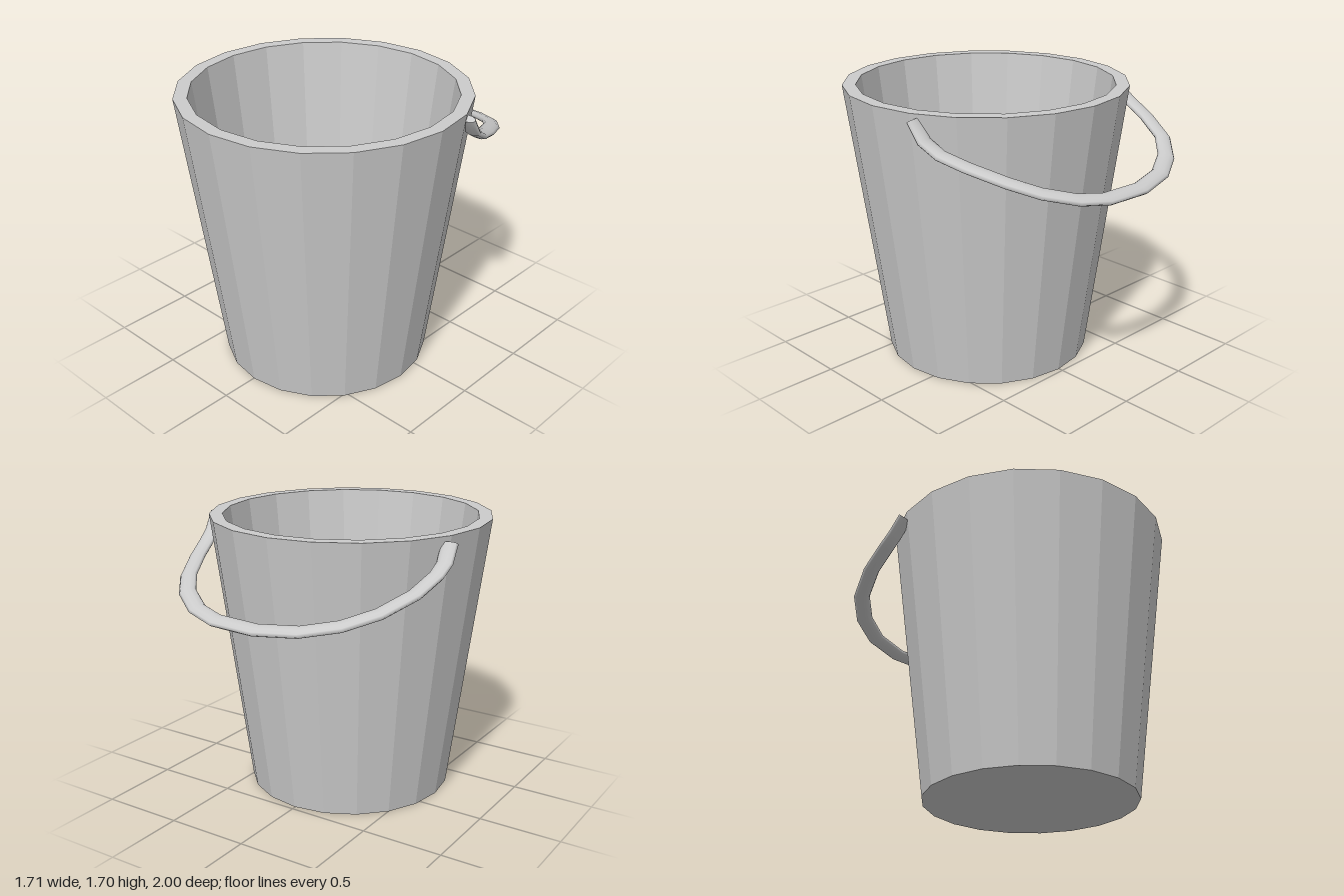
import * as THREE from 'three';

// Sweeps a flattened oval along a list of points; the oval's long axis lies in the plane with the given normal.
function sweepOval(path, planeNormal, halfWidth, halfThick, sides) {
  const pos = [], idx = [];
  const last = path.length - 1;
  path.forEach((p, i) => {
    const t = path[Math.min(i + 1, last)].clone().sub(path[Math.max(i - 1, 0)]).normalize();
    const w = new THREE.Vector3().crossVectors(planeNormal, t).normalize();
    const h = new THREE.Vector3().crossVectors(t, w);
    for (let k = 0; k < sides; k++) {
      const a = (k / sides) * Math.PI * 2;
      const v = p.clone()
        .addScaledVector(w, Math.cos(a) * halfWidth)
        .addScaledVector(h, Math.sin(a) * halfThick);
      pos.push(v.x, v.y, v.z);
    }
  });
  for (let i = 0; i < last; i++) {
    for (let k = 0; k < sides; k++) {
      const a = i * sides + k, b = i * sides + (k + 1) % sides;
      idx.push(a, b, a + sides, b, b + sides, a + sides);
    }
  }
  // End caps, with their own vertices so the edge stays sharp
  for (const ring of [0, last]) {
    const base = pos.length / 3;
    for (let k = 0; k < sides; k++) {
      const o = (ring * sides + k) * 3;
      pos.push(pos[o], pos[o + 1], pos[o + 2]);
    }
    for (let k = 1; k < sides - 1; k++) {
      if (ring === 0) idx.push(base, base + k + 1, base + k);
      else idx.push(base, base + k, base + k + 1);
    }
  }
  const g = new THREE.BufferGeometry();
  g.setAttribute('position', new THREE.Float32BufferAttribute(pos, 3));
  g.setIndex(idx);
  g.computeVertexNormals();
  return g;
}

export function createModel() {
  const group = new THREE.Group();
  group.name = 'bucket';

  // Tapered 20-sided pail: underside, outer wall, rim, inner wall and floor
  const profile = [
    [0, 0], [0.625, 0], [0.847, 1.695], [0.768, 1.695], [0.57, 0.058], [0, 0.058],
  ].map(([r, y]) => new THREE.Vector2(r, y));
  const pail = new THREE.Mesh(
    new THREE.LatheGeometry(profile, 20),
    new THREE.MeshStandardMaterial({ color: 0xcccccc, flatShading: true })
  );
  pail.name = 'pail';
  pail.position.set(0.005, 0, 0.153);
  group.add(pail);

  // Bail handle hanging down behind the pail, slightly uneven from side to side
  const path = [
    [-0.80, 1.655, -0.125], [-0.81, 1.56, -0.20], [-0.805, 1.51, -0.28],
    [-0.77, 1.44, -0.45], [-0.675, 1.37, -0.65], [-0.53, 1.315, -0.79],
    [-0.34, 1.28, -0.895], [-0.10, 1.265, -0.95], [0.17, 1.27, -0.94],
    [0.34, 1.295, -0.89], [0.50, 1.34, -0.78], [0.61, 1.39, -0.64],
    [0.71, 1.45, -0.44], [0.765, 1.495, -0.30], [0.79, 1.555, -0.20],
    [0.80, 1.66, -0.13],
  ].map((p) => new THREE.Vector3(...p));
  const handle = new THREE.Mesh(
    sweepOval(path, new THREE.Vector3(0, 0.95, -0.31), 0.05, 0.022, 10),
    new THREE.MeshStandardMaterial({ color: 0xcccccc })
  );
  handle.name = 'handle';
  group.add(handle);

  return group;
}
